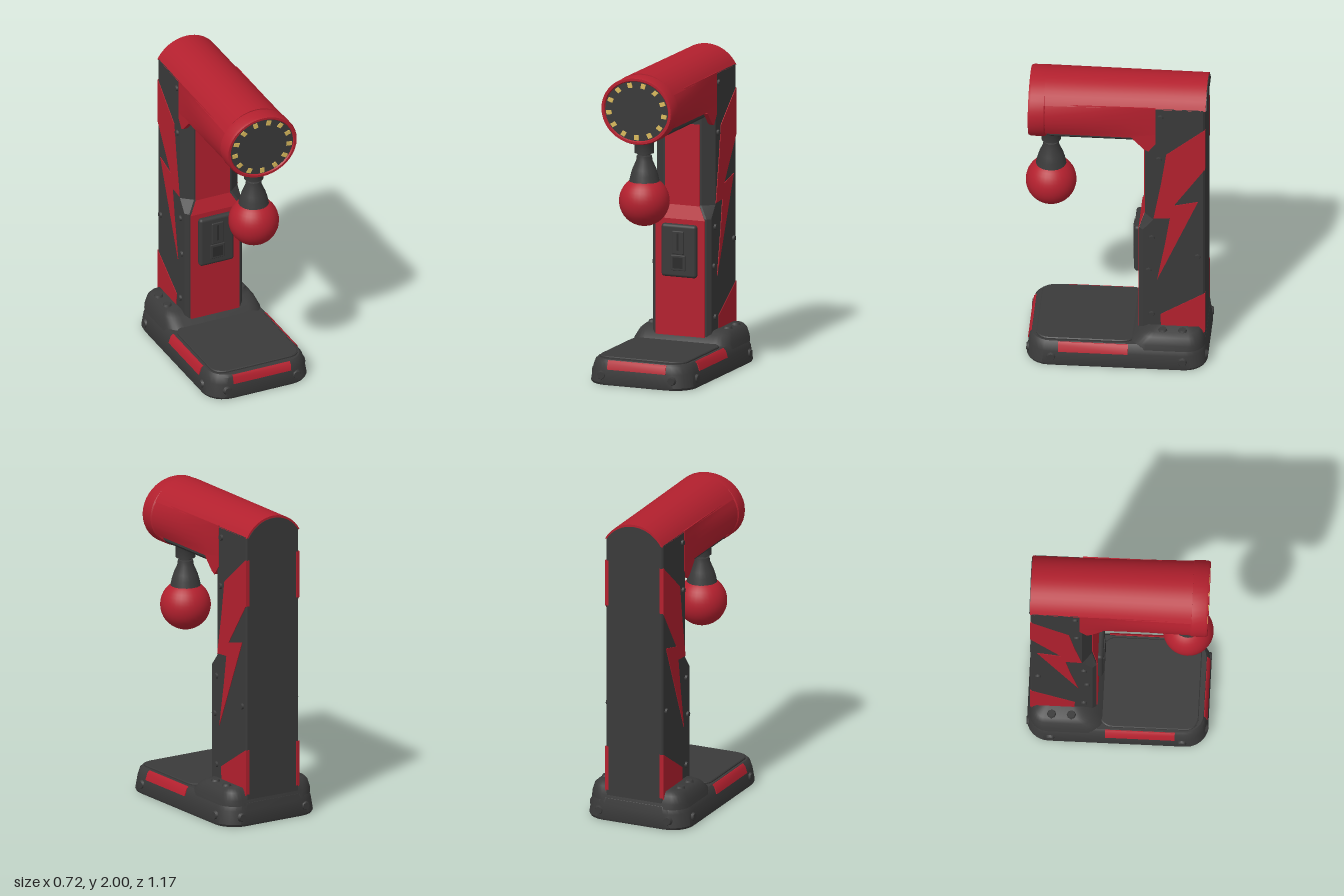
import * as THREE from 'three';
import { toCreasedNormals } from 'three/addons/utils/BufferGeometryUtils.js';
import { RoundedBoxGeometry } from 'three/addons/geometries/RoundedBoxGeometry.js';

const mat = (name, color) => Object.assign(new THREE.MeshStandardMaterial({ color }), { name });

// Closed skin through matching loops of [x, y, z] points, capped at both ends
function loft(loops, crease = 0.6) {
  const pos = [], n = loops[0].length, last = loops.length - 1;
  const mid = l => l.reduce((a, p) => a.map((v, i) => v + p[i] / n), [0, 0, 0]);
  const tris = [];
  for (let i = 0; i < n; i++) {
    const j = (i + 1) % n;
    for (let k = 0; k < last; k++) {
      const a = loops[k], b = loops[k + 1];
      tris.push([a[i], a[j], b[j]], [a[i], b[j], b[i]]);
    }
    tris.push([mid(loops[0]), loops[0][j], loops[0][i]], [mid(loops[last]), loops[last][i], loops[last][j]]);
  }
  // Signed volume tells whether the skin faces outwards
  const o = mid(loops[0]);
  let vol = 0;
  for (const t of tris) {
    const [a, b, c] = t.map(p => new THREE.Vector3(p[0] - o[0], p[1] - o[1], p[2] - o[2]));
    vol += a.dot(b.cross(c));
  }
  for (const t of tris) for (const p of (vol < 0 ? [t[0], t[2], t[1]] : t)) pos.push(...p);
  const g = new THREE.BufferGeometry();
  g.setAttribute('position', new THREE.Float32BufferAttribute(pos, 3));
  return toCreasedNormals(g, crease);
}

// Rounded rectangle in plan at height y
function roundRect(y, hx, z0, z1, r) {
  const out = [];
  const corners = [[hx - r, z1 - r], [-hx + r, z1 - r], [-hx + r, z0 + r], [hx - r, z0 + r]];
  corners.forEach(([cx, cz], q) => {
    for (let i = 0; i <= 6; i++) {
      const t = (q + i / 6) * Math.PI / 2;
      out.push([cx + r * Math.cos(t), y, cz + r * Math.sin(t)]);
    }
  });
  return out;
}

// Flat plate cut from a side outline of [z, y] points, centred on x
function sidePlate(outline, x, depth) {
  const shape = new THREE.Shape(outline.map(p => new THREE.Vector2(...p)));
  const g = new THREE.ExtrudeGeometry(shape, { depth, bevelEnabled: false });
  return g.rotateY(-Math.PI / 2).translate(x + depth / 2, 0, 0);
}

// Arched section of the top cover
function arch(z, w, r, base) {
  const out = [], half = Math.asin(w / r);
  for (let i = 0; i <= 16; i++) {
    const t = half * (i / 8 - 1);
    out.push([r * Math.sin(t), base + r * (Math.cos(t) - Math.cos(half)), z]);
  }
  return out;
}

export function createModel() {
  const root = new THREE.Group();
  root.name = 'punchingMachine';
  const red = mat('red paint', 0xb3202e), gray = mat('charcoal', 0x3a3a3a);
  const dark = mat('dark slot', 0x2b2b2b), yellow = mat('lamp yellow', 0xd9b95c);
  const add = (name, g, m, x = 0, y = 0, z = 0, parent = root) => {
    const mesh = new THREE.Mesh(g, m);
    mesh.name = name;
    mesh.position.set(x, y, z);
    parent.add(mesh);
    return mesh;
  };
  const box = (w, h, d) => new THREE.BoxGeometry(w, h, d);

  // Base with raised rear block and standing deck
  add('base', loft([roundRect(0, 0.35, -0.57, 0.56, 0.14), roundRect(0.015, 0.356, -0.576, 0.566, 0.14),
    roundRect(0.1, 0.345, -0.568, 0.556, 0.14), roundRect(0.145, 0.33, -0.56, 0.548, 0.135),
    roundRect(0.16, 0.315, -0.545, 0.535, 0.125)]), gray);
  add('rearBlock', loft([roundRect(0.13, 0.336, -0.562, -0.07, 0.12), roundRect(0.165, 0.328, -0.555, -0.09, 0.1),
    roundRect(0.215, 0.31, -0.54, -0.155, 0.08), roundRect(0.238, 0.285, -0.52, -0.2, 0.06)], 0.9), gray);
  add('deck', loft([roundRect(0.15, 0.3, -0.12, 0.505, 0.08), roundRect(0.168, 0.3, -0.12, 0.505, 0.08),
    roundRect(0.173, 0.295, -0.115, 0.5, 0.08)]), gray);
  add('frontTrim', loft([[0.1, 0.561], [0.143, 0.553], [0.157, 0.54]].map(([y, z]) =>
    [[-0.2, y, 0.5], [0.2, y, 0.5], [0.2, y, z], [-0.2, y, z]])), red);

  // Column narrowing above the control housing
  const column = (y, cx, z, sx, sz) => [[-cx, y, z], [cx, y, z], [sx, y, sz], [sx, y, -0.545],
    [sx - 0.01, y, -0.555], [-sx + 0.01, y, -0.555], [-sx, y, -0.545], [-sx, y, sz]];
  add('column', loft([column(0.1, 0.178, -0.14, 0.2, -0.165), column(0.96, 0.178, -0.14, 0.2, -0.165),
    column(1.04, 0.13, -0.172, 0.2, -0.23), column(1.885, 0.13, -0.172, 0.2, -0.23)], 0.3), gray);
  add('frontPanel', loft([[0.19, 0.168, -0.134], [0.95, 0.168, -0.134], [1.035, 0.118, -0.166], [1.56, 0.118, -0.166]]
    .map(([y, w, z]) => [[-w, y, z], [w, y, z], [w, y, z - 0.03], [-w, y, z - 0.03]]), 0.2), red);

  // Control box
  add('controlBox', new RoundedBoxGeometry(0.24, 0.34, 0.045, 3, 0.02), gray, 0, 0.75, -0.124);
  add('coinPlate', new RoundedBoxGeometry(0.08, 0.15, 0.014, 2, 0.006), gray, 0, 0.805, -0.1);
  add('coinSlot', box(0.012, 0.11, 0.008), dark, 0, 0.81, -0.095);
  add('buttonFrame', new RoundedBoxGeometry(0.1, 0.1, 0.012, 2, 0.005), gray, 0, 0.675, -0.1);
  add('button', box(0.07, 0.07, 0.008), dark, 0, 0.675, -0.096);

  // Head: arched cover, flared body and underside plate
  add('topCover', loft([arch(-0.56, 0.2, 0.227, 1.88), arch(-0.2, 0.202, 0.229, 1.88), arch(0.46, 0.212, 0.245, 1.88)]), red);
  add('coverBackPlate', loft([arch(-0.55, 0.19, 0.22, 1.876), arch(-0.564, 0.19, 0.22, 1.876)]), gray);
  const headLoop = (z, f) => {
    const side = [1.89, 1.85, 1.81, 1.77, 1.73, 1.69, 1.66].map(y => {
      const e = 0.239 * Math.sqrt(1 - ((y - 1.778) / 0.212) ** 2);
      return [0.204 + (e - 0.204) * f, y, z];
    });
    return [...side, ...side.map(([x, y]) => [-x, y, z]).reverse()];
  };
  add('headBody', loft([headLoop(-0.245, 0), headLoop(-0.1, 0.1), headLoop(0.15, 0.5), headLoop(0.46, 1)]), red);
  add('headUnderside', loft([roundRect(1.61, 0.15, -0.2, 0.455, 0.05), roundRect(1.63, 0.17, -0.22, 0.46, 0.05),
    roundRect(1.67, 0.17, -0.22, 0.46, 0.05)]), gray);

  // Front ring, lamp disc and lamps, slightly flattened
  const face = new THREE.Group();
  face.name = 'frontFace';
  face.position.y = 1.778;
  face.scale.y = 0.888;
  root.add(face);
  const ring = [[0, 0.45], [0.236, 0.45], [0.245, 0.46], [0.245, 0.545], [0.238, 0.56], [0.222, 0.56], [0.213, 0.548]];
  add('frontRing', toCreasedNormals(new THREE.LatheGeometry(ring.map(p => new THREE.Vector2(...p)), 40)
    .rotateX(Math.PI / 2), 0.6), red, 0, 0, 0, face);
  add('lampDisc', new THREE.CylinderGeometry(0.216, 0.216, 0.05, 40).rotateX(Math.PI / 2), gray, 0, 0, 0.527, face);
  for (let i = 0; i < 13; i++) {
    const t = -Math.PI / 2 + i * Math.PI * 2 / 13;
    add('lamp', box(0.036, 0.03, 0.008), yellow, 0.19 * Math.cos(t), 0.19 * Math.sin(t), 0.554, face).rotation.z = t;
  }

  // Hanging ball
  const neck = [[0.1, 1.29], [0.088, 1.345], [0.076, 1.385], [0.052, 1.44], [0.048, 1.472], [0.04, 1.476],
    [0.04, 1.49], [0.062, 1.49], [0.062, 1.57], [0.085, 1.6], [0.085, 1.63]];
  add('neck', toCreasedNormals(new THREE.LatheGeometry(neck.map(p => new THREE.Vector2(...p)), 24), 0.7), gray, 0, 0, 0.43);
  add('ball', new THREE.SphereGeometry(0.16, 32, 20), red, 0, 1.18, 0.43);

  // Mirrored side details
  const flash = [[-0.549, 1.735], [-0.312, 1.54], [-0.28, 1.32], [-0.232, 1.05], [-0.335, 1.058], [-0.3, 0.84],
    [-0.254, 0.582], [-0.33, 0.76], [-0.513, 1.19], [-0.36, 1.153], [-0.549, 1.43]];
  flash[5] = [-0.305, 0.86];
  const foot = [[-0.549, 0.49], [-0.275, 0.32], [-0.28, 0.22], [-0.549, 0.19]];
  const flange = [[-0.245, 1.7], [-0.245, 1.62], [-0.2, 1.56], [-0.172, 1.575], [-0.1, 1.65], [-0.1, 1.7]];
  const bolt = new THREE.CylinderGeometry(0.017, 0.022, 0.02, 8);
  const topBolt = new THREE.CylinderGeometry(0.024, 0.032, 0.018, 8);
  for (const s of [1, -1]) {
    add('sideFlash', sidePlate(flash, s * 0.2, 0.008), red);
    add('sideFoot', sidePlate(foot, s * 0.2, 0.008), red);
    add('headFlange', sidePlate(flange, s * 0.189, 0.03), red);
    add('flashBackEdge', box(0.024, 0.3, 0.008), red, s * 0.19, 1.583, -0.553);
    add('footBackEdge', box(0.024, 0.29, 0.008), red, s * 0.19, 0.345, -0.553);
    add('sideTrim', loft([[0.1, 0.351], [0.143, 0.337], [0.158, 0.322]].map(([y, x]) =>
      [[s * 0.302, y, -0.08], [s * x, y, -0.08], [s * x, y, 0.36], [s * 0.302, y, 0.36]])), red);
    for (const [y, z] of [[0.9, -0.22], [0.65, -0.2], [0.32, -0.22], [1.5, -0.265], [1.82, -0.275], [0.77, -0.51]])
      add('columnBolt', bolt, gray, s * 0.203, y, z).rotation.z = -s * Math.PI / 2;
    for (const z of [0.405, -0.425])
      add('baseSideBolt', topBolt, gray, s * 0.352, 0.06, z).rotation.z = -s * Math.PI / 2;
    add('baseFrontBolt', topBolt, gray, s * 0.24, 0.06, 0.558).rotation.x = Math.PI / 2;
    add('baseBackBolt', topBolt, gray, s * 0.24, 0.06, -0.57).rotation.x = -Math.PI / 2;
    for (const z of [-0.42, -0.295]) add('blockBolt', topBolt, gray, s * 0.258, 0.242, z);
  }
  return root;
}
